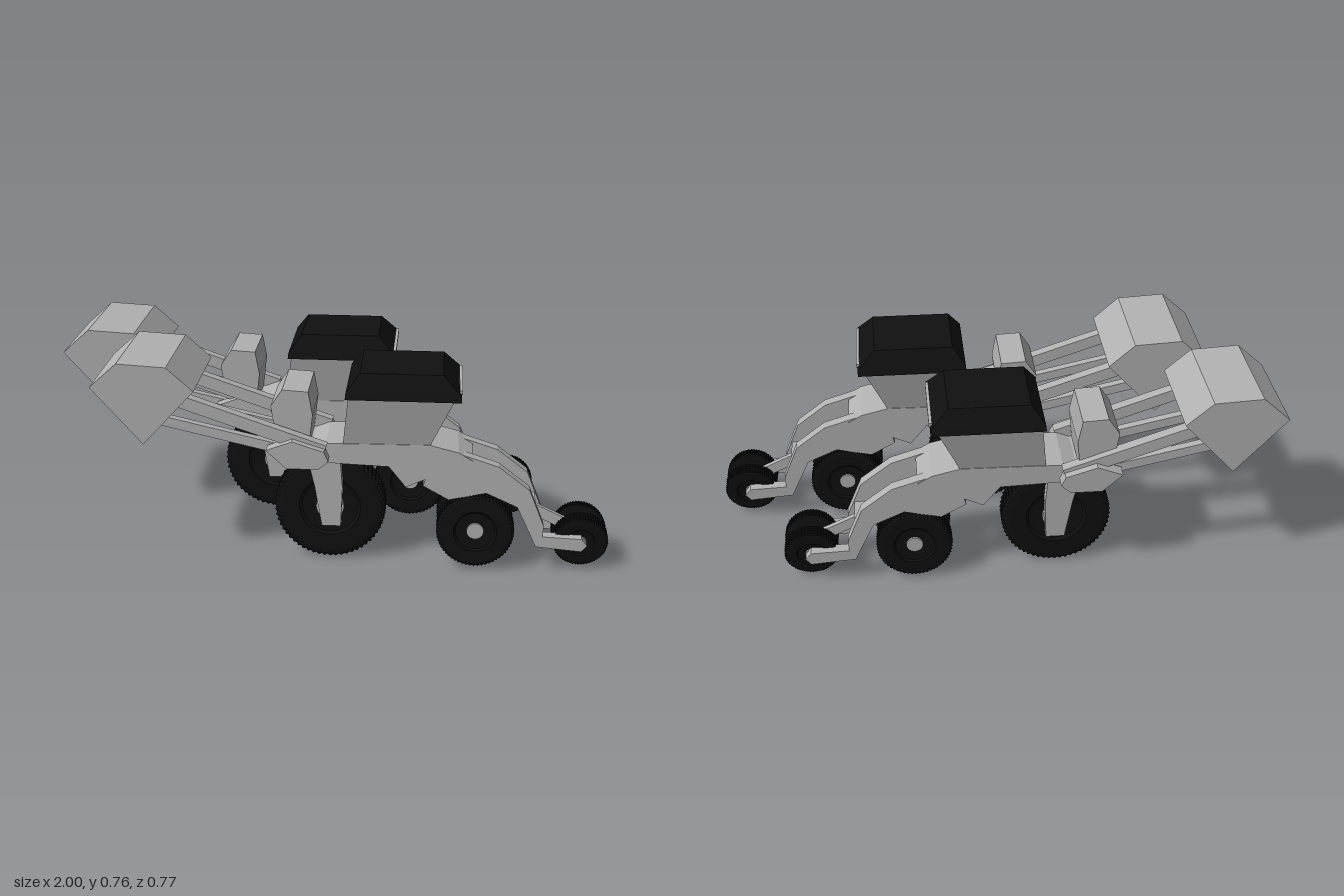
import * as THREE from 'three';
import { ConvexGeometry } from 'three/addons/geometries/ConvexGeometry.js';

const grey = new THREE.MeshStandardMaterial({ color: 0xb2b2b2 });
grey.name = 'painted steel';
const black = new THREE.MeshStandardMaterial({ color: 0x101010, flatShading: true });
black.name = 'black rubber and plastic';

function add(parent, name, geometry, material = grey) {
  const mesh = new THREE.Mesh(geometry, material);
  mesh.name = name;
  parent.add(mesh);
  return mesh;
}

// Side outline in x, y given thickness along z
function plate(parent, name, points, z, width, material) {
  const shape = new THREE.Shape(points.map(p => new THREE.Vector2(...p)));
  const geometry = new THREE.ExtrudeGeometry(shape, { depth: width, bevelEnabled: false });
  geometry.translate(0, 0, z - width / 2);
  return add(parent, name, geometry, material);
}

function box(parent, name, x0, x1, y0, y1, z, width, material) {
  const mesh = add(parent, name, new THREE.BoxGeometry(x1 - x0, y1 - y0, width), material);
  mesh.position.set((x0 + x1) / 2, (y0 + y1) / 2, z);
  return mesh;
}

// Straight bar between two points in the x, y plane
function link(parent, name, a, b, z, height, width) {
  const dx = b[0] - a[0], dy = b[1] - a[1];
  const mesh = add(parent, name, new THREE.BoxGeometry(Math.hypot(dx, dy), height, width));
  mesh.position.set((a[0] + b[0]) / 2, (a[1] + b[1]) / 2, z);
  mesh.rotation.z = Math.atan2(dy, dx);
}

// Tapered solid through stacked rectangles [y, x0, x1, z half width]
function taper(parent, name, levels, material) {
  const points = [];
  for (const [y, x0, x1, h] of levels)
    for (const x of [x0, x1]) for (const z of [-h, h]) points.push(new THREE.Vector3(x, y, z));
  return add(parent, name, new ConvexGeometry(points), material);
}

// Ribbed tyre with fine lugs and a hub, axle along z
function wheel(parent, name, x, y, z, r, w, hubRadius, tilt = 0) {
  const group = new THREE.Group();
  group.name = name;
  group.position.set(x, y, z);
  group.rotation.x = tilt;
  const h = w / 2;
  const profile = [[hubRadius, -h * 0.7], [r * 0.5, -h * 0.8], [r * 0.55, -h], [r * 0.85, -h], [r * 0.93, -h * 0.95]];
  const ribs = 9;
  for (let i = 0; i < ribs; i++)
    profile.push([r * (i % 2 ? 0.95 : 1), h * 0.8 * (2 * i / (ribs - 1) - 1)]);
  profile.push([r * 0.93, h * 0.95], [r * 0.85, h], [r * 0.55, h], [r * 0.5, h * 0.8], [hubRadius, h * 0.7]);
  const geometry = new THREE.LatheGeometry(profile.map(p => new THREE.Vector2(...p)), 120);
  const pos = geometry.attributes.position;
  for (let i = 0; i < pos.count; i++) {
    const j = i % profile.length;
    const k = j > 4 && j < profile.length - 5 && Math.floor(i / profile.length) % 2 ? 0.965 : 1;
    pos.setXYZ(i, pos.getX(i) * k, pos.getY(i), pos.getZ(i) * k);
  }
  geometry.rotateX(Math.PI / 2);
  add(group, 'tyre', geometry, black);
  const hub = new THREE.CylinderGeometry(hubRadius, hubRadius, w * 0.9, 24);
  add(group, 'hub', hub.rotateX(Math.PI / 2));
  parent.add(group);
}

function rowUnit(name, armShift, armDrop, boxZ) {
  const unit = new THREE.Group();
  unit.name = name;

  // Hopper, lid and latch bar
  taper(unit, 'hopper', [[0.47, 0.06, 0.36, 0.102], [0.66, 0.08, 0.445, 0.137]]);
  taper(unit, 'hopperLid', [[0.655, 0.07, 0.462, 0.168], [0.675, 0.072, 0.462, 0.16], [0.738, 0.118, 0.4, 0.128]], black);
  box(unit, 'lidLatchBar', 0.455, 0.466, 0.673, 0.688, 0, 0.27);

  // Main frame under the hopper
  plate(unit, 'mainFrame', [[-0.1, 0.43], [0, 0.47], [0.36, 0.475], [0.46, 0.45], [0.51, 0.42],
    [0.43, 0.385], [0.28, 0.315], [0.22, 0.39], [-0.06, 0.4]], 0, 0.21);
  box(unit, 'frontCrossBeam', -0.12, -0.03, 0.405, 0.45, 0, 0.32);

  // Gearbox housing above the links
  plate(unit, 'gearboxHousing', [[-0.19, 0.6], [-0.15, 0.66], [-0.06, 0.655], [-0.045, 0.57],
    [-0.06, 0.44], [-0.17, 0.46]], -0.01, 0.22);

  for (const s of [-1, 1]) {
    // Side brackets and lifting links
    plate(unit, 'sideBracket', [[-0.2, 0.465], [-0.11, 0.5], [0, 0.465], [0.015, 0.43],
      [-0.02, 0.4], [-0.13, 0.4]], s * 0.15, 0.05);
    link(unit, 'upperLink', [-0.53 + armShift, 0.635 - armDrop], [0, 0.455], s * 0.127, 0.045, 0.04);
    link(unit, 'lowerLink', [-0.57 + armShift, 0.54 - armDrop], [-0.08, 0.43], s * 0.1, 0.035, 0.03);

    // Fork legs beside the large wheel
    plate(unit, 'forkLeg', [[-0.065, 0.405], [0.05, 0.405], [0.058, 0.3], [0.052, 0.15],
      [-0.015, 0.15], [-0.04, 0.3]], s * 0.072, 0.04);

    // Bent rear arm reaching the closing wheels
    plate(unit, 'rearArm', [[0.37, 0.415], [0.46, 0.445], [0.6, 0.4], [0.71, 0.315], [0.765, 0.18],
      [0.762, 0.14], [0.9, 0.135], [0.92, 0.11], [0.9, 0.087], [0.74, 0.1], [0.715, 0.155],
      [0.67, 0.25], [0.56, 0.3], [0.43, 0.27], [0.34, 0.32]], s * 0.08, 0.042);

    wheel(unit, 'gaugeWheel', 0.527, 0.153, s * 0.072, 0.138, 0.07, 0.03);
    wheel(unit, 'closingWheel', 0.9, 0.11, s * 0.041, 0.098, 0.056, 0.022, s * 0.15);
  }

  // Rear bracing
  box(unit, 'rearCrossBar', 0.695, 0.738, 0.195, 0.24, 0, 0.15);
  link(unit, 'centreRod', [0.44, 0.38], [0.71, 0.22], 0, 0.03, 0.02);
  link(unit, 'closingWheelBar', [0.72, 0.21], [0.9, 0.125], 0, 0.04, 0.02);
  box(unit, 'gaugeAxle', 0.512, 0.542, 0.14, 0.168, 0, 0.13);

  wheel(unit, 'largeWheel', 0.01, 0.202, 0, 0.2, 0.09, 0.05);

  // Faceted bin at the end of the links
  const bin = plate(unit, 'frontBin', [[-0.802, 0.675], [-0.705, 0.762], [-0.535, 0.753],
    [-0.443, 0.67], [-0.625, 0.472]], boxZ, 0.372);
  bin.position.set(armShift, -armDrop, 0);
  return unit;
}

export function createModel() {
  const model = new THREE.Group();
  model.name = 'rowPlanter';
  const near = rowUnit('frontRowUnit', 0, 0, -0.015);
  near.position.z = 0.209;
  const far = rowUnit('backRowUnit', 0.042, 0.01, 0.003);
  far.position.set(-0.24, 0, -0.206);
  model.add(near, far);
  return model;
}
